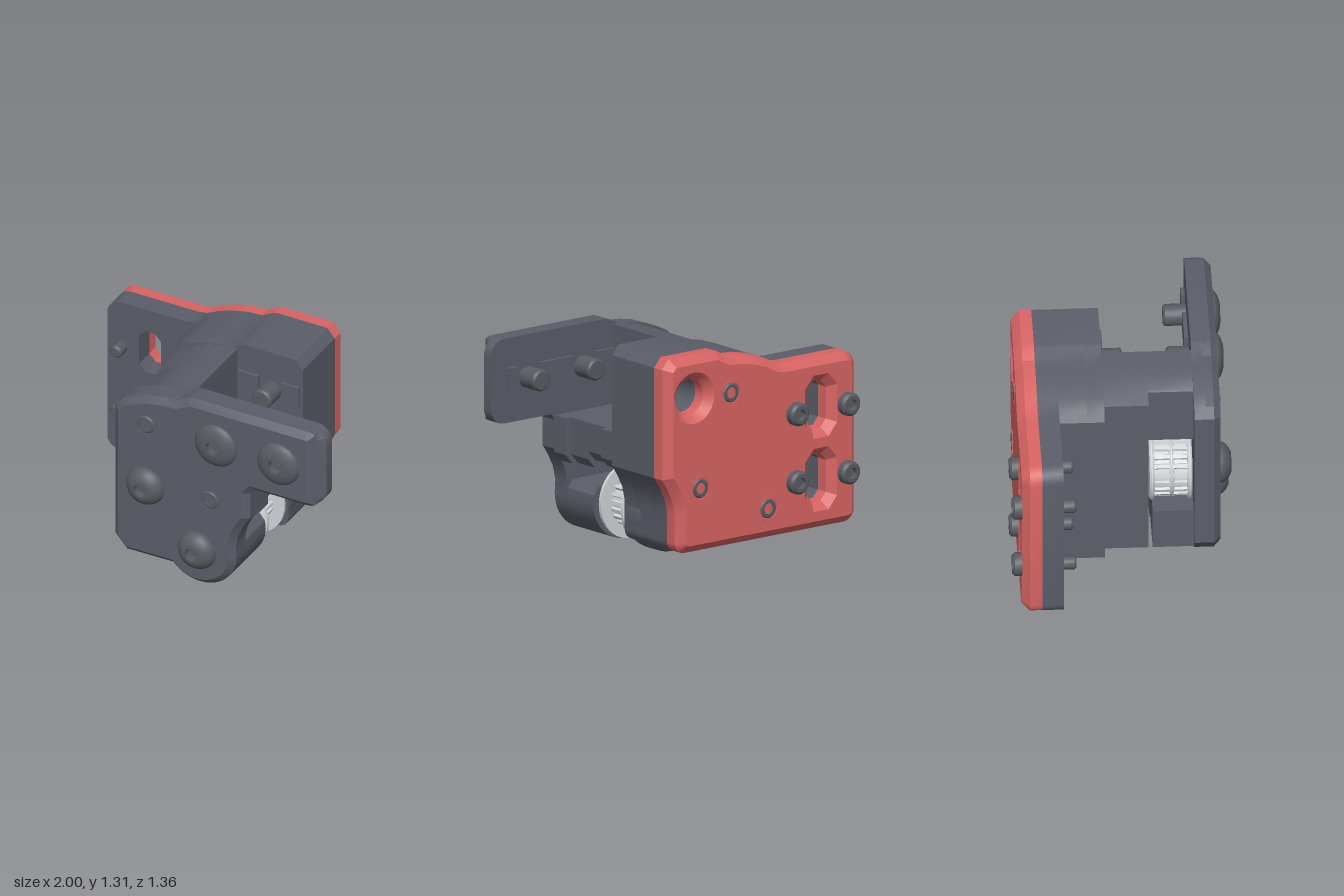
import * as THREE from 'three';
import { toCreasedNormals } from 'three/addons/utils/BufferGeometryUtils.js';

const mat = (name, color) => Object.assign(new THREE.MeshStandardMaterial({ color }), { name });

// Points along an arc, angles in degrees
function arc(cx, cy, r, a0, a1, n = 6) {
  const pts = [];
  for (let i = 0; i <= n; i++) {
    const a = THREE.MathUtils.degToRad(a0 + (a1 - a0) * i / n);
    pts.push([cx + r * Math.cos(a), cy + r * Math.sin(a)]);
  }
  return pts;
}
const vec = pts => pts.map(p => new THREE.Vector2(...p));

// Outline extruded from z0 to z1, optionally chamfered at both ends
function prism(pts, z0, z1, holes = [], chamfer = 0) {
  const shape = new THREE.Shape(vec(pts));
  holes.forEach(h => shape.holes.push(new THREE.Path(vec(h))));
  const g = new THREE.ExtrudeGeometry(shape, {
    depth: z1 - z0 - 2 * chamfer, bevelEnabled: chamfer > 0, bevelSegments: 1,
    bevelSize: chamfer, bevelThickness: chamfer, bevelOffset: -chamfer,
  });
  g.translate(0, 0, z0 + chamfer);
  return g;
}

// Turned part along z: profile points are [radius, height]; dir -1 points to the back
function turned(profile, x, y, z, dir = 1, sides = 32) {
  const g = new THREE.LatheGeometry(vec(profile), sides);
  g.rotateX(dir * Math.PI / 2);
  g.translate(x, y, z);
  return g;
}
const rod = (r, x, y, z0, z1) =>
  turned([[0, 0], [r - 0.012, 0], [r, 0.012], [r, z1 - z0 - 0.012], [r - 0.012, z1 - z0], [0, z1 - z0]], x, y, z0);

// Head with a recessed drive socket
const dome = (r, h, s) => [...arc(0, 0, 1, 0, 62, 8).map(([c, t]) => [r * c, h * t / 0.883]), [s, h], [s, h - 0.05], [0, h - 0.05]];
const capHead = (r, h, s) => [[r, 0], [r, h - 0.015], [r - 0.015, h], [s, h], [s, h - 0.035], [0, h - 0.035]];

// Toothed wheel outline
function gear(r0, r1, n, cx, cy) {
  const pts = [];
  for (let i = 0; i < n; i++) {
    [[0, r0], [0.4, r0], [0.5, r1], [0.9, r1]].forEach(([f, r]) => {
      const a = (i + f) / n * Math.PI * 2;
      pts.push([cx + r * Math.cos(a), cy + r * Math.sin(a)]);
    });
  }
  return pts;
}

export function createModel() {
  const dark = mat('dark plastic', 0x5b5e69);
  const red = mat('red plastic', 0xd96464);
  const steel = mat('screw steel', 0x585b61);
  const light = mat('light metal', 0xd2d5d8);
  const model = new THREE.Group();
  const add = (name, geo, material, crease = 0.5) => {
    const m = new THREE.Mesh(toCreasedNormals(geo, crease), material);
    m.name = name;
    model.add(m);
    return m;
  };

  // Shared outline pieces
  const crown = [[0.1, 1.31], [0.07, 1.3], [0, 1.262], [-0.1, 1.255], [-0.2, 1.235], [-0.3, 1.2], [-0.38, 1.16]];
  const waist = [[0.4, 0.33], [0.42, 0.42], [0.46, 0.5], [0.5, 0.56]];
  const bossArc = arc(0.155, 0.25, 0.25, 222, 360, 20);

  // Front plate with arm; the arm's end has a wide chamfer
  const frontOutline = [[-0.43, 0.17], [-0.35, 0.08], ...bossArc, ...waist, [0.5, 0.74], [0.53, 0.78],
    ...arc(0.9, 0.88, 0.1, 270, 360), ...arc(0.9, 1.21, 0.1, 0, 90), ...crown, [-0.43, 1.1]];
  add('frontPlate', prism(frontOutline, 0.45, 0.52), dark);
  const face = prism(frontOutline, 0.48, 0.61, [], 0.04);
  const p = face.attributes.position;
  for (let i = 0; i < p.count; i++) p.setX(i, Math.min(p.getX(i), 1 - Math.max(0, p.getZ(i) - 0.515)));
  add('frontPlateFace', face, dark, 0.35);

  // Back cover and the dark flange in front of it
  const slot = y => [[-0.74, y - 0.147], [-0.67, y - 0.147], [-0.63, y - 0.1], [-0.63, y + 0.1],
    [-0.67, y + 0.147], [-0.74, y + 0.147], [-0.78, y + 0.1], [-0.78, y - 0.1]];
  const slots = [slot(0.845), slot(0.388)];
  const rightEdge = [...arc(0.33, 0.15, 0.07, 270, 360), ...waist, [0.5, 1.25], [0.45, 1.31], ...crown];
  const backOutline = [...arc(-0.92, 0.16, 0.08, 180, 270), ...rightEdge, [-0.45, 1.15], ...arc(-0.9, 1.05, 0.1, 90, 180)];
  const access = r => arc(0.29, 1.05, r, 0, 345, 23);
  add('backFlange', prism(backOutline, -0.5, -0.37, [...slots, access(0.12)]), dark);
  add('backCover', prism(backOutline, -0.625, -0.45, [...slots, access(0.11)], 0.05), red, 0.35);

  // Rear block, hollowed for the rear bolt, with a rounded boss around the shaft
  const blockOutline = [[-0.43, 0.08], ...rightEdge, [-0.43, 1.1]];
  add('rearBlock', prism(blockOutline, -0.45, -0.2, [access(0.12)]), dark);
  add('rearBlockFront', prism(blockOutline, -0.2, -0.095), dark);
  add('rearBoss', turned([[0, 0], [0.17, 0], [0.18, 0.04], [0.205, 0.08], [0.235, 0.11], [0.25, 0.16], [0.25, 0.29], [0, 0.29]],
    0.155, 0.25, -0.4), dark);

  // Bridge between the rear block and the front plate
  const wallTop = [[0.05, 1.27], [-0.05, 1.255], [-0.15, 1.24], [-0.25, 1.2]];
  add('bridgeWall', prism([[-0.34, 0.08], [-0.12, 0.08], [-0.12, 0.53], [0.05, 0.53], ...wallTop, [-0.34, 1.15]], -0.1, 0.175), dark);
  add('idlerHousing', prism([[-0.26, 0.83], [0.03, 0.83], [0.03, 0.48], [0.05, 0.48], ...wallTop, [-0.26, 1.19]], 0.175, 0.46), dark);
  [[-0.1, 0.01, 0.5, 0.53], [0.01, 0.18, 0.46, 0.53], [0.18, 0.345, 0.46, 0.48], [0.345, 0.46, 0.5, 0.48]].forEach(([z0, z1, x, y]) =>
    add('bridgeFloor', prism([[0, y], [x - 0.05, y], [x, y + 0.06], [x, 0.77], [0, 0.77]], z0, z1), dark));
  add('frontBoss', prism([[-0.34, 0.17], [-0.34, 0.08], ...bossArc, [0.4, 0.3], [0.36, 0.35], [-0.34, 0.35]], 0.2, 0.46), dark);

  // Locating ribs facing the open channel
  const rib = (x0, x1, z, d) => {
    const g = new THREE.BoxGeometry(x1 - x0, 0.15, d);
    g.translate((x0 + x1) / 2, 1.05, z);
    add('locatingRib', g, dark);
  };
  [[0.05, 0.2], [0.37, 0.63], [0.8, 0.88]].forEach(([a, b]) => rib(a, b, 0.44, 0.03));
  [[0.06, 0.2], [0.36, 0.48]].forEach(([a, b]) => rib(a, b, -0.09, 0.03));

  // Drive pulley with two flanges and its shaft
  const [px, py] = [0.155, 0.25];
  add('pulleyTeeth', prism(gear(0.165, 0.145, 20, px, py), -0.06, 0.15), light, 0.2);
  [-0.09, 0.14].forEach((z, i) => {
    const prof = i ? [[0, 0], [0.24, 0], [0.24, 0.02], [0.2, 0.04], [0, 0.04]] : [[0, 0], [0.2, 0], [0.24, 0.02], [0.24, 0.04], [0, 0.04]];
    add('pulleyFlange', turned(prof, px, py, z, 1, 40), light);
  });
  add('pulleyShaft', rod(0.08, px, py, -0.2, 0.3), steel);

  // Idler wheel
  add('idlerTeeth', prism(gear(0.19, 0.175, 20, -0.2, 0.6), 0.2, 0.42), light, 0.2);
  [0.18, 0.3, 0.41].forEach(z => add('idlerFlange', rod(z === 0.3 ? 0.195 : 0.215, -0.2, 0.6, z, z + 0.03), light));

  // Front button-head bolts, two with threaded ends in the channel
  [[0.285, 1.045, 0.145, 0.05], [0.715, 1.045, 0.145, 0.05], [-0.2, 0.605, 0.128, 0.075], [0.155, 0.25, 0.128, 0.075]].forEach(([x, y, r, h], i) => {
    add('frontBolt', turned(dome(r, h, 0.045), x, y, 0.607), steel);
    if (i < 2) add('boltEnd', rod(0.067, x, y, 0.31, 0.47), steel);
  });
  add('rearBoltEnd', rod(0.067, 0.285, 1.045, -0.15, 0.04), steel);
  add('rearBoltHead', turned(dome(0.11, 0.06, 0.045), 0.285, 1.045, -0.2, -1), steel);

  // Screws set in hexagonal seats, front and back
  const hexScrew = (x, y, z, dir, material) => {
    const hex = arc(x, y, 0.088, 30, 330, 5);
    const ring = prism(hex, z - 0.004, z + 0.004, [arc(x, y, 0.068, 0, 345, 23)]);
    add('hexSeat', ring, material);
    add('seatScrew', turned(capHead(0.068, 0.04, 0.035), x, y, z - dir * 0.033, dir), steel);
  };
  [[-0.2, 1.045], [0.24, 0.637]].forEach(([x, y]) => hexScrew(x, y, 0.61, 1, dark));
  [[0, 1.04], [0.24, 0.48], [-0.29, 0.27]].forEach(([x, y]) => hexScrew(x, y, -0.625, -1, red));

  // Mounting screws through the back flange
  [-0.905, -0.505].forEach(x => [0.83, 0.403].forEach(y => {
    add('mountScrewHead', turned(capHead(0.072, 0.06, 0.035), x, y, -0.62, -1), steel);
    add('mountScrewEnd', rod(0.042, x, y, -0.4, -0.29), steel);
  }));
  return model;
}
